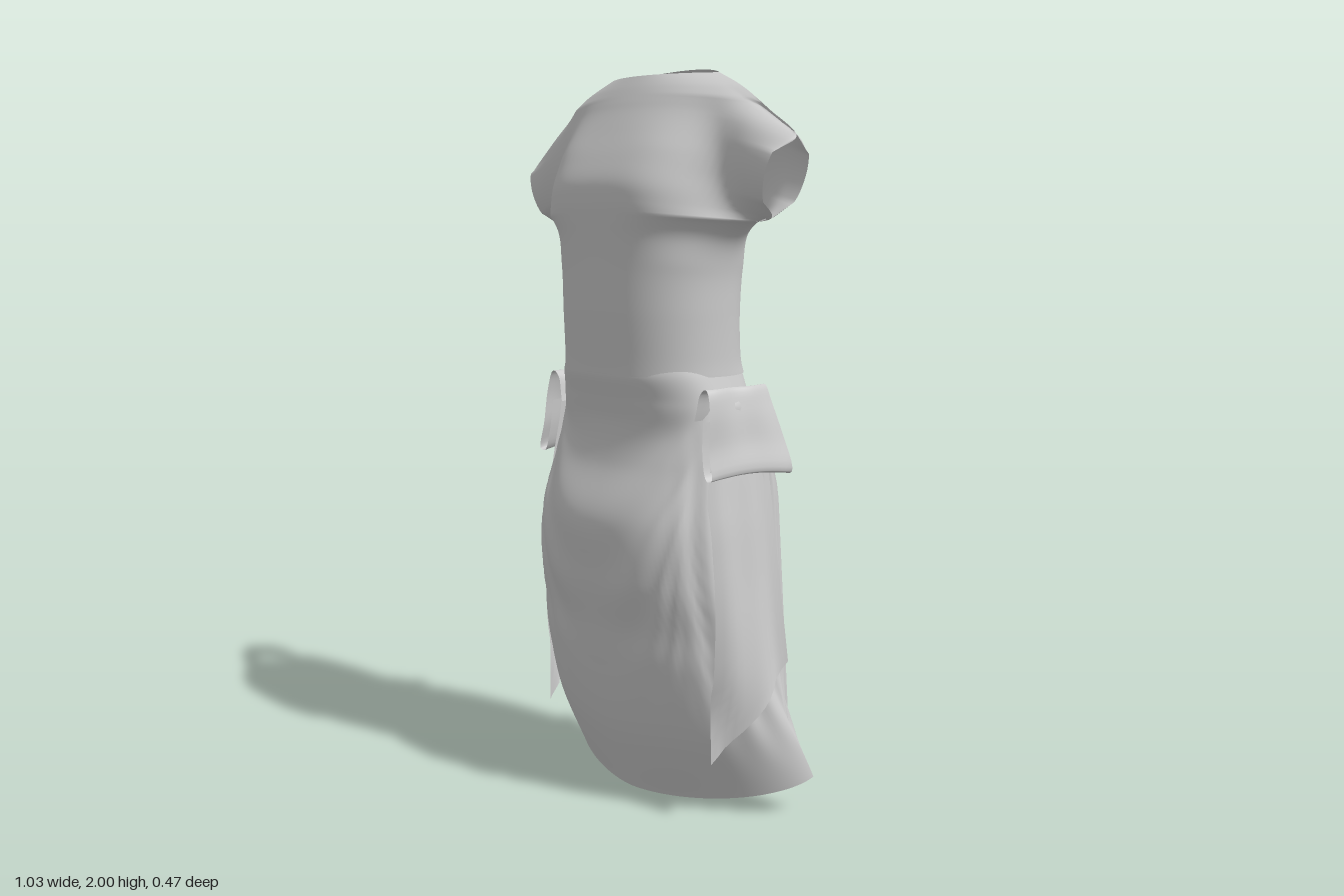
import * as THREE from 'three';
import { mergeGeometries, mergeVertices } from 'three/addons/utils/BufferGeometryUtils.js';

const { clamp, lerp, smoothstep } = THREE.MathUtils;
const material = new THREE.MeshStandardMaterial({ color: 0xcccccc, side: THREE.DoubleSide, roughness: 0.9 });

// bodice rows: centre y, front z, back z, end x, end y, end z, sleeve opening (0 closed, 1 open)
const BODICE = [
  [1.19, 0.182, -0.205, 0.28, 1.19, -0.02, 0],
  [1.24, 0.184, -0.188, 0.278, 1.24, -0.02, 0],
  [1.35, 0.19, -0.18, 0.279, 1.35, -0.02, 0],
  [1.47, 0.193, -0.184, 0.284, 1.46, -0.025, 0],
  [1.55, 0.196, -0.186, 0.305, 1.54, -0.03, 0],
  [1.60, 0.199, -0.187, 0.355, 1.585, -0.03, 0],
  [1.65, 0.2, -0.187, 0.43, 1.6, -0.033, 0],
  [1.70, 0.193, -0.187, 0.455, 1.64, -0.033, 1],
  [1.76, 0.165, -0.188, 0.475, 1.70, -0.033, 1],
  [1.83, 0.125, -0.187, 0.495, 1.76, -0.033, 1],
  [1.88, 0.096, -0.18, 0.513, 1.805, -0.033, 0],
  [1.91, 0.08, -0.17, 0.42, 1.868, -0.035, 0],
  [1.945, 0.06, -0.152, 0.32, 1.932, -0.038, 0],
  [1.975, 0.04, -0.13, 0.22, 1.975, -0.05, 0],
];

// skirt rows: y, half width, front z, back z, z of the side, roundness of front and back
const SKIRT = [
  [1.24, 0.262, 0.165, -0.165, -0.02, 0.8, 0.8],
  [1.19, 0.277, 0.18, -0.188, -0.02, 0.8, 0.8],
  [1.12, 0.298, 0.166, -0.203, -0.02, 0.85, 0.8],
  [1.05, 0.315, 0.155, -0.215, -0.02, 0.85, 0.78],
  [0.95, 0.335, 0.178, -0.226, -0.02, 0.85, 0.78],
  [0.8, 0.358, 0.23, -0.23, -0.02, 0.85, 0.78],
  [0.65, 0.376, 0.228, -0.227, -0.02, 0.86, 0.78],
  [0.52, 0.395, 0.201, -0.218, -0.03, 0.88, 0.8],
  [0.4, 0.412, 0.19, -0.21, -0.05, 0.92, 0.82],
  [0.2, 0.443, 0.15, -0.196, -0.11, 1.02, 0.85],
  [0.005, 0.472, 0.072, -0.145, -0.18, 1.18, 0.85],
];

// smooth (or straight) value of one column of a row table
function sample(rows, t, col, linear = false) {
  const f = clamp(t, 0, 1) * (rows.length - 1);
  const i = Math.min(Math.floor(f), rows.length - 2), k = f - i;
  const v = (n) => rows[clamp(n, 0, rows.length - 1)][col];
  const a = v(i - 1), b = v(i), c = v(i + 1), d = v(i + 2);
  if (linear) return lerp(b, c, k);
  return b + 0.5 * k * (c - a + k * (2 * a - 5 * b + 4 * c - d + k * (3 * (b - c) + d - a)));
}

// indexed grid surface; the front face is along u x v
function grid(nu, nv, fn) {
  const pos = [], index = [];
  for (let j = 0; j <= nv; j++)
    for (let i = 0; i <= nu; i++) pos.push(...fn(i / nu, j / nv));
  for (let j = 0; j < nv; j++)
    for (let i = 0; i < nu; i++) {
      const a = j * (nu + 1) + i, b = a + 1, d = a + nu + 1, c = d + 1;
      index.push(a, b, d, b, c, d);
    }
  const g = new THREE.BufferGeometry();
  g.setAttribute('position', new THREE.Float32BufferAttribute(pos, 3));
  g.setIndex(index);
  return g;
}

function mesh(name, geometry) {
  const g = mergeVertices(geometry, 1e-4);
  g.computeVertexNormals();
  const m = new THREE.Mesh(g, material);
  m.name = name;
  return m;
}

// half thickness of the sleeve tube, from 0 to 1, between underarm and shoulder line
function sleeveDepth(x, y) {
  const top = 1.975 - 0.58 * (x - 0.22), bottom = 1.5 + 0.1 * smoothstep(x, 0.28, 0.41);
  const k = clamp((2 * y - top - bottom) / (top - bottom), -1, 1);
  return Math.sqrt(1 - k * k) * smoothstep(x, 0.18, 0.34);
}

// front (dir 1) or back (dir -1) panel of the bodice with its sleeves
function bodicePanel(dir) {
  return grid(64, 104, (u, t) => {
    const get = (col) => sample(BODICE, t, col, col > 4);
    const yc = get(0), zc = get(dir > 0 ? 1 : 2), ex = get(3), ey = get(4), ze = get(5), open = get(6);
    const s = Math.sin((u * 2 - 1) * Math.PI / 2), x = Math.abs(s) * ex;
    const y = yc + (ey - yc) * s * s;
    const q = Math.min(1, x / Math.min(ex, 0.38));
    // body bulge: rounded at the waist, fading into the sleeve, lens shaped at the neck
    const waist = Math.sqrt(Math.max(0, 1 - q ** 2.7));
    const chest = 0.5 + 0.5 * Math.cos(Math.PI * q ** 2.5);
    const neck = 1 - q ** 2.1;
    const shape = lerp(lerp(waist, chest, smoothstep(yc, 1.48, 1.74)), neck, smoothstep(yc, 1.78, 1.95));
    const body = Math.abs(zc - ze) * shape;
    const closing = lerp(Math.sqrt(Math.max(0, 1 - Math.abs(s) ** 10)), 1, open);
    const sleeve = 0.074 * sleeveDepth(x, y) * closing;
    const lift = dir < 0 ? 0.025 * smoothstep(yc, 1.8, 1.975) * (1 - s * s) : 0;
    const droop = dir * s < 0 ? 0.03 * smoothstep(x, 0.3, 0.5) : 0;
    return [dir * s * ex, y + lift - droop, ze + dir * Math.cbrt(body ** 3 + sleeve ** 3)];
  });
}

// draped skirt: swags across front and back, pleats at the sides, slanted hem
function skirtPoint(u, t) {
  const a = u * Math.PI * 2, co = Math.cos(a), si = Math.sin(a), front = si > 0;
  const [y0, w, zf, zb, zs, pf, pb] = SKIRT[0].map((_, c) => sample(SKIRT, t, c));
  const power = front ? pf : pb;
  const cx = Math.sign(co) * Math.abs(co) ** power, sz = Math.abs(si) ** power;
  const q = cx * cx;
  const drop = (1.16 - y0) / (1.08 - q);
  const fade = smoothstep(1.14 - y0, 0, 0.12) * smoothstep(y0, 0.25, 0.7) * smoothstep(1 - q, 0.1, 0.6);
  const swag = (front ? 0.005 : 0.002) * Math.sin(drop * 24) * fade;
  const pleat = 0.006 * Math.sin(a * 20) * smoothstep(q, 0.45, 0.85)
    * smoothstep(1.1 - y0, 0, 0.3) * smoothstep(y0, 0.05, 0.4);
  const hem = 0.1 * (front ? 1 - sz : q) * smoothstep(0.45 - y0, 0, 0.45);
  const z = zs + ((front ? zf : zb) - zs) * sz;
  return [cx * (w + pleat), y0 + hem, z + Math.sign(si) * (swag + pleat * 0.6 * sz)];
}

// half width of the skirt at a given height and depth
function skirtX(y, z) {
  const i = SKIRT.findIndex((r) => r[0] <= y);
  const a = SKIRT[i - 1], b = SKIRT[i], k = (a[0] - y) / (a[0] - b[0]);
  const [, w, zf, zb, zs, pf, pb] = a.map((v, n) => lerp(v, b[n], k));
  const power = z > zs ? pf : pb;
  const r = clamp((z - zs) / ((z > zs ? zf : zb) - zs), 0, 1) ** (1 / power);
  return w * Math.sqrt(1 - r * r) ** power;
}

// ribbon end hanging straight from the knot outside the skirt, cut off at a slant
function sashTail(zFront, zBack, bottomFront, bottomBack, xFront, xBack) {
  return grid(12, 24, (u, v) => {
    const y = lerp(1.09, lerp(bottomFront, bottomBack, u), v);
    const spread = lerp(0.7, 1, smoothstep(v, 0, 0.25));
    const z = lerp(zFront, zBack, u) * spread - 0.02 * (1 - spread);
    const straight = lerp(0.325, lerp(xFront, xBack, u), v);
    return [Math.max(skirtX(y, z) + 0.01, straight) + 0.003 * Math.sin(u * 12), y, z];
  });
}

// folded ribbon loop hanging over the knot
function bowLoop(reach) {
  const path = new THREE.CatmullRomCurve3([
    [0, 1.08], [0.04, 1.15], [0.25, 1.165], [0.5, 1.11], [0.77, 1.02], [1, 0.935],
    [0.81, 0.93], [0.6, 0.99], [0.34, 1.08],
  ].map(([k, y]) => new THREE.Vector3(lerp(0.295, reach, k), y, 0)));
  return grid(12, 40, (u, v) => {
    const p = path.getPoint(v), flare = smoothstep(1.17 - p.y, 0, 0.22);
    const z = lerp(0.085 + 0.01 * flare, -0.135 - 0.025 * flare, u);
    const x = p.x - 0.04 * flare * (1 - u) + 0.005 * Math.sin(u * 11) * (1 - flare);
    return [x, p.y + 0.012 * flare * Math.sin(u * 3), z];
  });
}

function sash(side) {
  const left = side > 0, group = new THREE.Group();
  group.name = left ? 'leftSash' : 'rightSash';
  group.add(mesh('bowLoop', bowLoop(left ? 0.395 : 0.418)));
  group.add(mesh('frontSashTail', sashTail(0.088, -0.12, 0.17, left ? 0.43 : 0.31, 0.352, 0.43)));
  group.add(mesh('backSashTail', sashTail(-0.1, -0.165, 0.3, 0.14, 0.42, 0.4)));
  const knot = mesh('knot', new THREE.SphereGeometry(1, 16, 12));
  knot.scale.set(0.035, 0.05, 0.05);
  knot.position.set(0.305, 1.1, -0.02);
  group.add(knot);
  group.scale.x = side;
  return group;
}

export function createModel() {
  const model = new THREE.Group();
  model.name = 'dress';
  model.add(mesh('bodice', mergeGeometries([bodicePanel(1), bodicePanel(-1)])));
  model.add(mesh('skirt', grid(160, 100, skirtPoint)));
  model.add(sash(1), sash(-1));
  return model;
}
